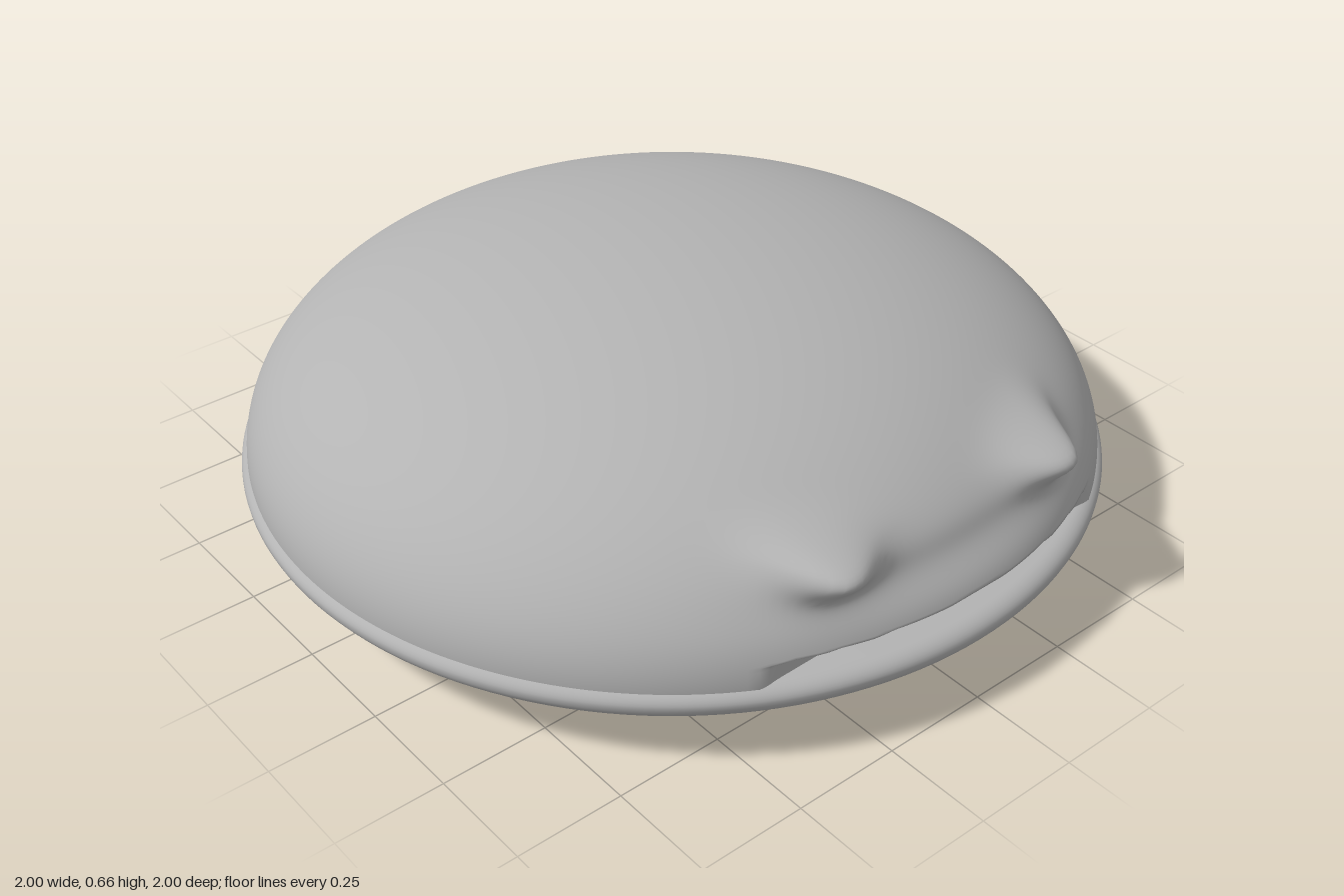
import * as THREE from 'three';

const RADIUS = 0.985, RIM = 0.2, RISE = 0.46;
const bell = (d, s) => Math.exp(-(d * d) / (2 * s * s));

// Front relief: two brow bumps, a shallow hollow under them and a flat-backed mouth slot
function sculptFront(p) {
  if (p.z <= 0) return;
  const ax = Math.abs(p.x), y = p.y;
  const brow = bell(ax - 0.33, ax < 0.33 ? 0.085 : 0.055) * bell(y - 0.425, y < 0.425 ? 0.04 : 0.026);
  const hollow = bell(p.x, 0.25) * bell(y - 0.345, 0.03);
  p.z += 0.125 * brow - 0.018 * hollow;
  if (y < 0.27) {
    const back = 0.86 + 0.12 * THREE.MathUtils.smoothstep(y, 0.247, 0.27);
    p.z = Math.min(p.z, back);
  }
}

// Half ellipsoid made of rings, packed closer towards the rim
function domeGeometry(rings = 110, segments = 256) {
  const positions = [], indices = [], p = new THREE.Vector3();
  for (let i = 0; i <= rings; i++) {
    const t = (Math.PI / 2) * Math.pow(i / rings, 1.4);
    const r = RADIUS * Math.cos(t);
    for (let j = 0; j < segments; j++) {
      const a = (j / segments) * Math.PI * 2;
      p.set(r * Math.sin(a), RIM + RISE * Math.sin(t), r * Math.cos(a));
      sculptFront(p);
      positions.push(p.x, p.y, p.z);
      if (i === rings) continue;
      const k = (j + 1) % segments;
      const a0 = i * segments + j, b0 = i * segments + k;
      const a1 = a0 + segments, b1 = b0 + segments;
      indices.push(a0, b0, b1);
      if (i < rings - 1) indices.push(a0, b1, a1);
    }
  }
  const g = new THREE.BufferGeometry();
  g.setAttribute('position', new THREE.Float32BufferAttribute(positions, 3));
  g.setIndex(indices);
  g.computeVertexNormals();
  return g;
}

// Shallow bowl with a rounded rim, closed on top
function baseGeometry() {
  const profile = [];
  for (let i = 0; i <= 32; i++) {
    const t = (i / 32) * Math.PI / 2;
    profile.push(new THREE.Vector2(Math.sin(t), 0.175 - 0.175 * Math.cos(t)));
  }
  for (let i = 1; i <= 8; i++) {
    const t = (i / 8) * Math.PI / 2;
    profile.push(new THREE.Vector2(0.96 + 0.04 * Math.cos(t), 0.175 + 0.03 * Math.sin(t)));
  }
  profile.push(new THREE.Vector2(0.85, 0.209), new THREE.Vector2(0, 0.209));
  return new THREE.LatheGeometry(profile, 160);
}

export function createModel() {
  const group = new THREE.Group();
  group.name = 'domedShell';
  const grey = new THREE.MeshStandardMaterial({ color: 0xb3b3b3 });
  grey.name = 'grey';

  const dome = new THREE.Mesh(domeGeometry(), grey);
  dome.name = 'upperShell';
  const base = new THREE.Mesh(baseGeometry(), grey);
  base.name = 'lowerShell';
  group.add(dome, base);
  return group;
}
